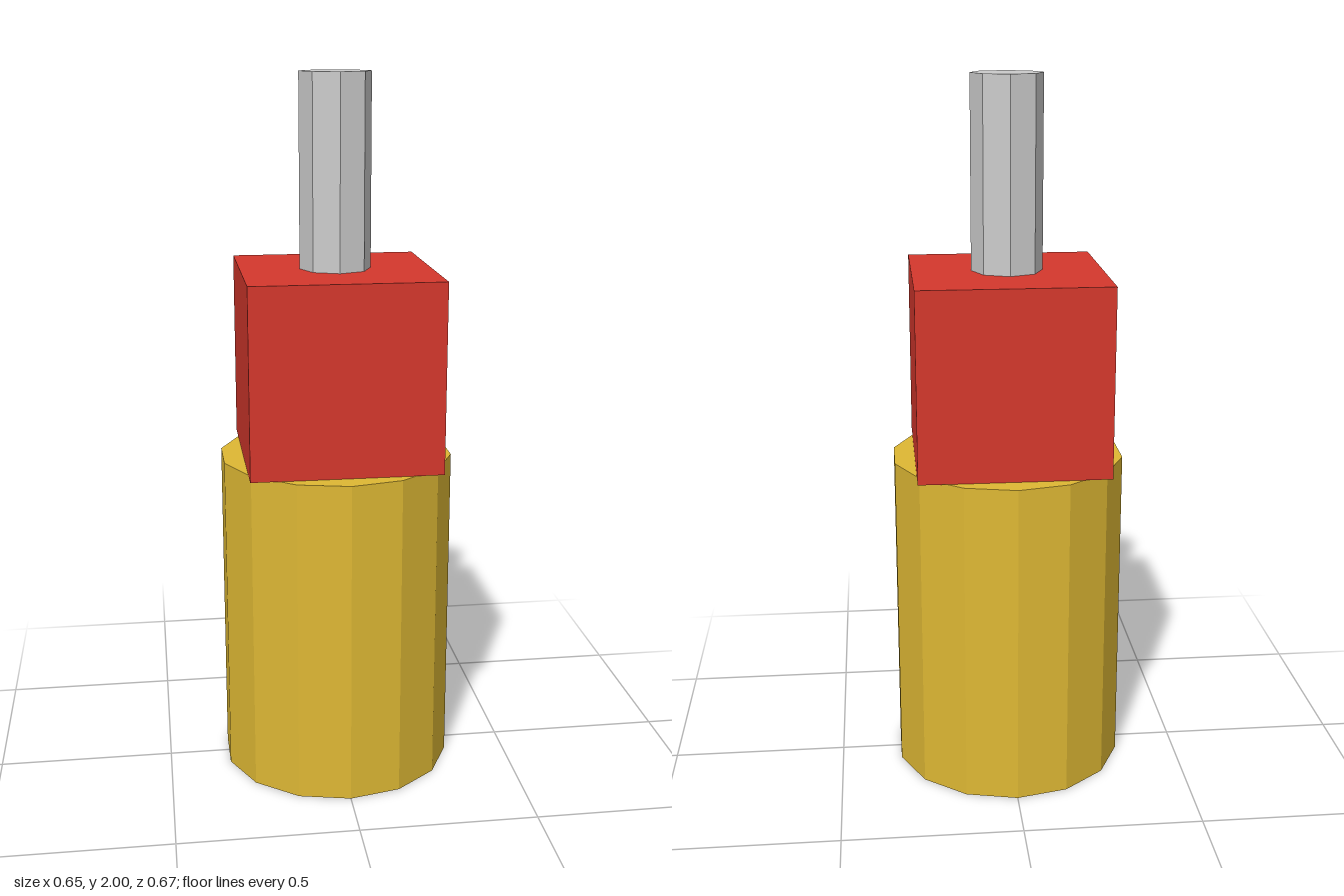
import * as THREE from 'three';

export function createModel() {
  const model = new THREE.Group();

  const addPart = (name, geometry, color, bottom, height) => {
    const material = new THREE.MeshStandardMaterial({ color, flatShading: true });
    const mesh = new THREE.Mesh(geometry, material);
    mesh.name = name;
    mesh.position.y = bottom + height / 2;
    model.add(mesh);
  };

  const baseHeight = 0.933;
  const blockSize = 0.533;
  const blockTop = baseHeight + blockSize;
  const rodHeight = 2 - blockTop;

  // Fourteen-sided base, square block, eight-sided rod, stacked upwards
  addPart('base', new THREE.CylinderGeometry(0.333, 0.333, baseHeight, 14), 0xdeb834, 0, baseHeight);
  addPart('block', new THREE.BoxGeometry(blockSize, blockSize, blockSize), 0xd5382d, baseHeight, blockSize);
  addPart('rod', new THREE.CylinderGeometry(0.1, 0.1, rodHeight, 8), 0xcccccc, blockTop, rodHeight);

  return model;
}
